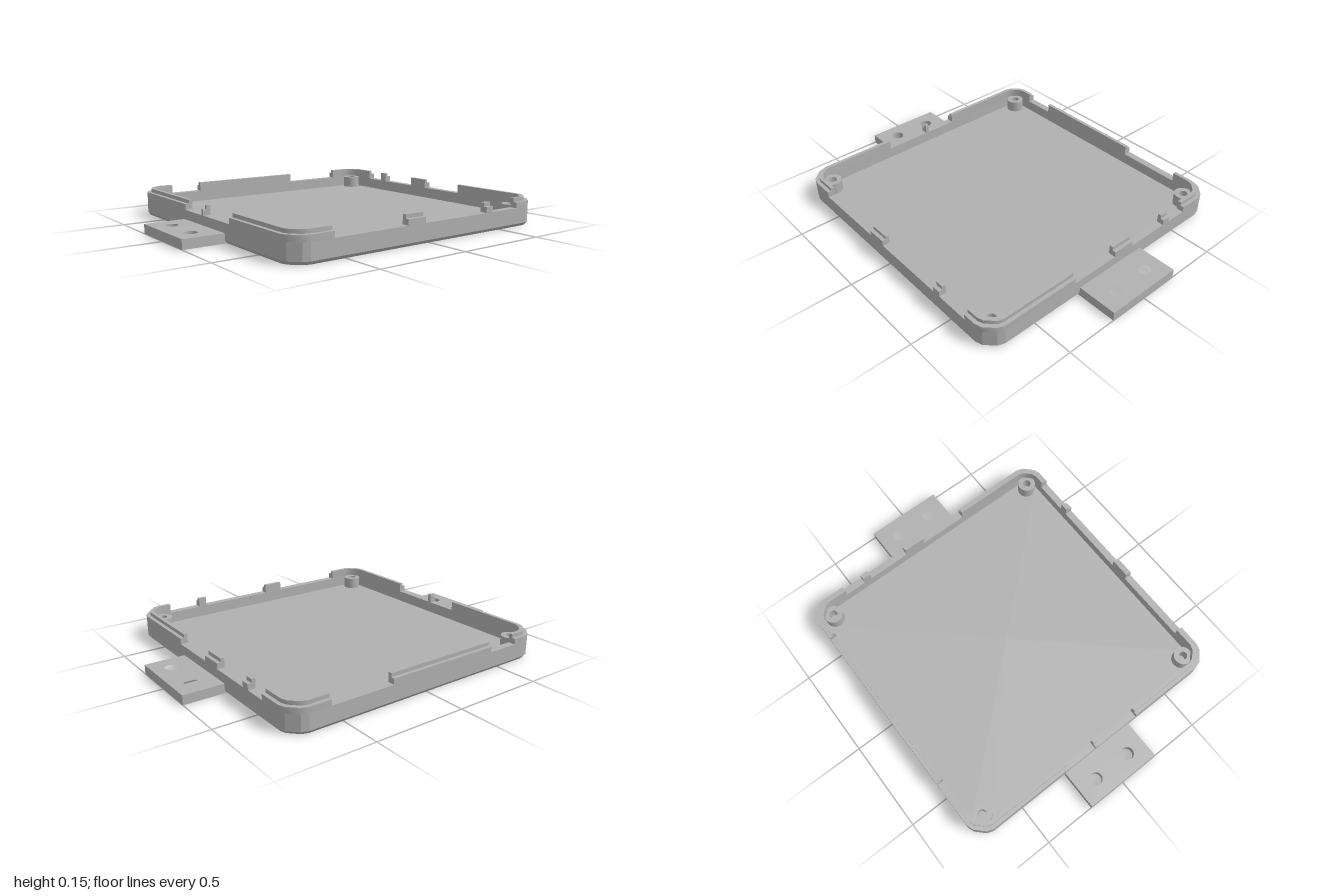
import * as THREE from 'three';
import { toCreasedNormals } from 'three/addons/utils/BufferGeometryUtils.js';

const HALF = 0.783, WALL = 0.04, FLOOR_Y = 0.04, RIM_Y = 0.10, STEP_Y = 0.13, LIP_Y = 0.15;

// Softened corner of the outline inset by d, from the x side round to the z side
function corner(sx, sz, d) {
  const H = HALF - d, s = (0.095 - 0.586 * d) / 0.095;
  return [[0, 0.095], [0.012, 0.06], [0.06, 0.012], [0.095, 0]]
    .map(([a, b]) => [sx * (H - a * s), sz * (H - b * s)]);
}

// Closed outline inset by d
function outline(d) {
  return [
    ...corner(1, 1, d), ...corner(-1, 1, d).reverse(),
    ...corner(-1, -1, d), ...corner(1, -1, d).reverse(),
  ];
}

// Extrude an [x, z] shape upwards between two heights
function slab(shape, y0, y1) {
  const g = new THREE.ExtrudeGeometry(shape, { depth: y1 - y0, bevelEnabled: false, curveSegments: 20 });
  g.rotateX(-Math.PI / 2);
  g.translate(0, y0, 0);
  return toCreasedNormals(g, 0.5);
}

function polygon(points) {
  return new THREE.Shape(points.map(([x, z]) => new THREE.Vector2(x, -z)));
}

function circle(x, z, r) {
  return new THREE.Path().absarc(x, -z, r, 0, Math.PI * 2, true);
}

// Open tray lofted from outlines: bevelled base, outer wall, rim, inner wall, floor
function trayGeometry() {
  const rings = [[0.012, 0], [0, 0.016], [0, RIM_Y], [WALL, RIM_Y], [WALL, FLOOR_Y]]
    .map(([d, y]) => outline(d).map(([x, z]) => [x, y, z]));
  const pos = [], n = rings[0].length;
  const tri = (a, b, c) => pos.push(...a, ...b, ...c);
  for (let i = 0; i < n; i++) {
    const j = (i + 1) % n;
    for (let k = 0; k < rings.length - 1; k++) {
      const lo = rings[k], up = rings[k + 1];
      tri(lo[i], up[i], up[j]);
      tri(lo[i], up[j], lo[j]);
    }
    tri([0, 0, 0], rings[0][i], rings[0][j]);
    tri([0, FLOOR_Y, 0], rings[4][j], rings[4][i]);
  }
  const g = new THREE.BufferGeometry();
  g.setAttribute('position', new THREE.Float32BufferAttribute(pos, 3));
  g.computeVertexNormals();
  return g;
}

export function createModel() {
  const model = new THREE.Group();
  const grey = new THREE.MeshStandardMaterial({ color: 0xb0b0b0 });
  grey.name = 'plain grey';
  const add = (name, geometry) => {
    const mesh = new THREE.Mesh(geometry, grey);
    mesh.name = name;
    model.add(mesh);
  };

  add('tray', trayGeometry());

  // Raised wall: a full-width step with a thinner inner lip above it
  const raised = (name, path) => {
    const strip = (d) => polygon([...path(d), ...path(WALL).reverse()]);
    add(name + 'Step', slab(strip(0), RIM_Y, STEP_Y));
    add(name + 'Lip', slab(strip(0.02), STEP_Y, LIP_Y));
  };

  // Corner pieces: signs, then where each arm ends along z and along x
  for (const [sx, sz, z, x] of [
    [1, 1, 0.25, 0.615], [-1, 1, 0.26, 0.565], [1, -1, 0.56, 0.57], [-1, -1, 0.2, 0.61],
  ]) {
    raised('cornerWall', (d) => [
      [sx * (HALF - d), sz * z], ...corner(sx, sz, d), [sx * x, sz * (HALF - d)],
    ]);
  }

  // Straight pieces between the cut-outs
  for (const [side, a, b] of [[1, -0.145, -0.035], [1, 0.385, 0.43], [-1, -0.43, 0.22]]) {
    raised(side > 0 ? 'frontWall' : 'backWall',
      (d) => [[a, side * (HALF - d)], [b, side * (HALF - d)]]);
  }
  for (const [side, a, b] of [[1, -0.44, -0.395], [1, -0.15, -0.025], [-1, -0.02, 0]]) {
    raised(side > 0 ? 'leftWall' : 'rightWall',
      (d) => [[side * (HALF - d), a], [side * (HALF - d), b]]);
  }

  for (const sx of [1, -1]) {
    // Mounting tabs with two screw holes
    const tab = polygon([[sx * 0.755, -0.217], [sx, -0.217], [sx, 0.217], [sx * 0.755, 0.217]]);
    for (const z of [-0.108, 0.108]) tab.holes.push(circle(sx * 0.904, z, 0.034));
    add('mountingTab', slab(tab, 0, 0.05));

    // Hollow screw posts in the corners
    for (const sz of [1, -1]) {
      const post = new THREE.Shape().absarc(sx * 0.688, -sz * 0.688, 0.05, 0, Math.PI * 2, false);
      post.holes.push(circle(sx * 0.688, sz * 0.688, 0.023));
      add('screwPost', slab(post, FLOOR_Y, 0.105));
    }
  }
  return model;
}
